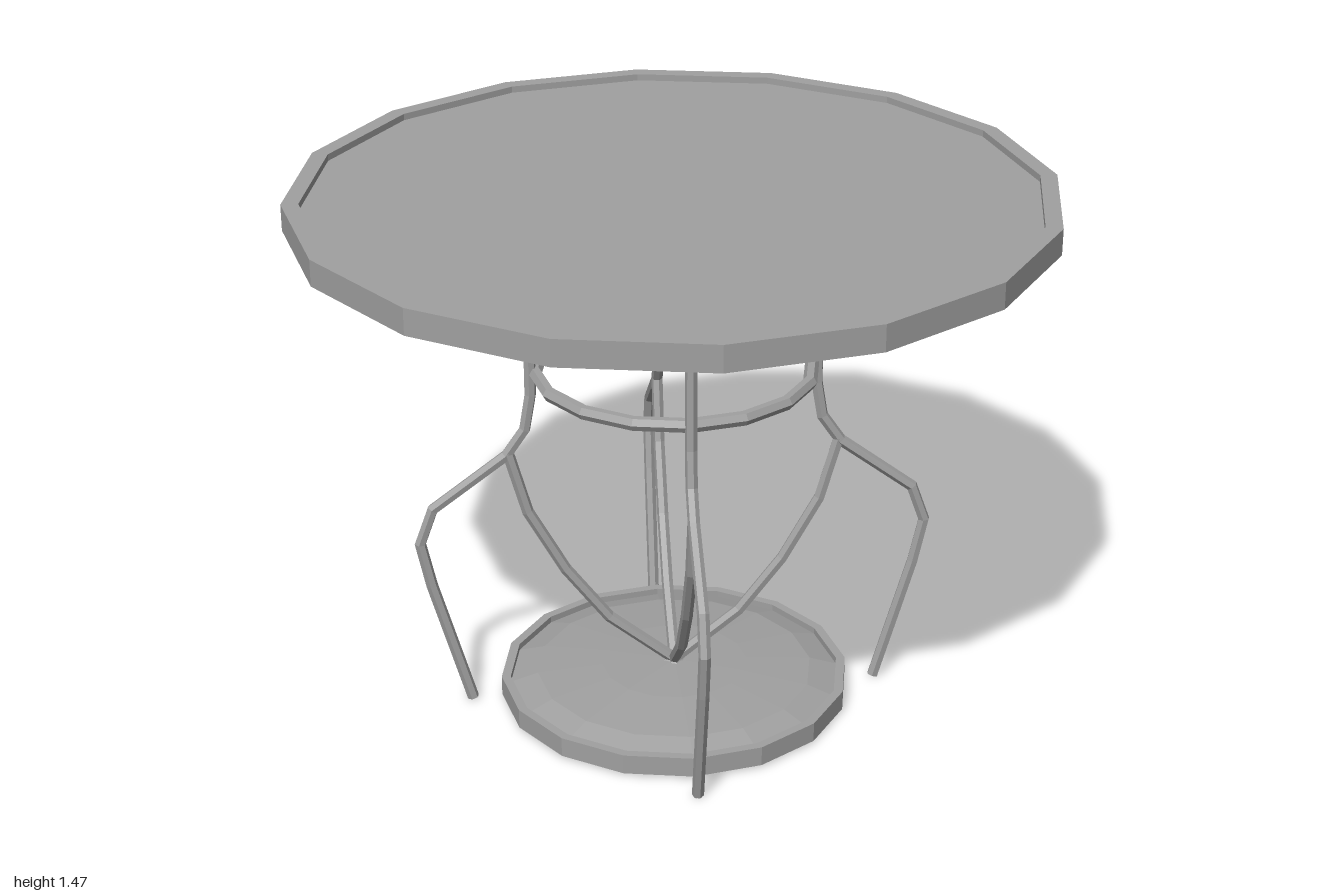
import * as THREE from 'three';

const material = new THREE.MeshStandardMaterial({ color: 0xa0a0a0, flatShading: true, side: THREE.DoubleSide });
const SIDES = 16;

// Curve with straight runs and sharp bends at the given points
class BentPath extends THREE.Curve {
  constructor(points) {
    super();
    this.points = points;
  }
  getPoint(t, target = new THREE.Vector3()) {
    const last = this.points.length - 1;
    const i = Math.min(Math.floor(t * last + 1e-6), last - 1);
    return target.lerpVectors(this.points[i], this.points[i + 1], t * last - i);
  }
  getPointAt(u, target) {
    return this.getPoint(u, target);
  }
  getTangentAt(u, target = new THREE.Vector3()) {
    const p = this.points, i = Math.round(u * (p.length - 1));
    target.set(0, 0, 0);
    if (i > 0) target.add(p[i].clone().sub(p[i - 1]).normalize());
    if (i < p.length - 1) target.add(p[i + 1].clone().sub(p[i]).normalize());
    return target.normalize();
  }
}

function mesh(name, geometry) {
  const m = new THREE.Mesh(geometry, material);
  m.name = name;
  return m;
}

function turned(name, profile) {
  return mesh(name, new THREE.LatheGeometry(profile.map(([r, y]) => new THREE.Vector2(r, y)), SIDES));
}

// Bent rod in the diagonal plane x = z, closed at both ends
function rod(name, profile) {
  const group = new THREE.Group();
  group.name = name;
  const points = profile.map(([d, y]) => new THREE.Vector3(d, y, d));
  const radius = 0.016;
  group.add(mesh(name + 'Bar', new THREE.TubeGeometry(new BentPath(points), points.length - 1, radius, 6)));
  const n = points.length;
  for (const [end, next] of [[0, 1], [n - 1, n - 2]]) {
    const cap = mesh(name + 'Cap', new THREE.CircleGeometry(radius, 6));
    cap.position.copy(points[end]);
    cap.lookAt(points[end].clone().multiplyScalar(2).sub(points[next]));
    group.add(cap);
  }
  return group;
}

export function createModel() {
  const table = new THREE.Group();
  table.name = 'roundTable';

  // Table top: sunken panel inside a raised rim
  table.add(turned('tableTop', [
    [0, 1.413], [0.955, 1.413], [0.955, 1.402], [1, 1.402],
    [1, 1.472], [0.955, 1.472], [0.955, 1.454], [0, 1.454],
  ]));

  // Low shelf: gently domed panel inside a rim
  table.add(turned('lowerShelf', [
    [0, 0.07], [0.2, 0.063], [0.36, 0.045], [0.455, 0.018], [0.455, 0.007], [0.48, 0.007],
    [0.48, 0.062], [0.455, 0.062], [0.455, 0.044], [0.38, 0.068], [0.2, 0.083], [0, 0.088],
  ]));

  // Two hoops tying the legs together
  for (const y of [0.977, 1.269]) {
    const hoop = mesh('hoop', new THREE.TorusGeometry(0.368, 0.019, 6, SIDES));
    hoop.rotation.x = Math.PI / 2;
    hoop.position.y = y;
    table.add(hoop);
  }

  // Four legs, each with a brace passing through the shelf centre
  for (let i = 0; i < 4; i++) {
    const leg = new THREE.Group();
    leg.name = 'leg';
    leg.add(rod('outerLeg', [
      [0.27, 1.416], [0.27, 0.915], [0.282, 0.815], [0.318, 0.74],
      [0.46, 0.59], [0.486, 0.488], [0.467, 0.36], [0.396, 0.004],
    ]));
    leg.add(rod('innerBrace', [
      [0.315, 0.748], [0.28, 0.57], [0.21, 0.39], [0.127, 0.235], [-0.04, 0.045],
    ]));
    leg.rotation.y = i * Math.PI / 2;
    table.add(leg);
  }
  return table;
}
